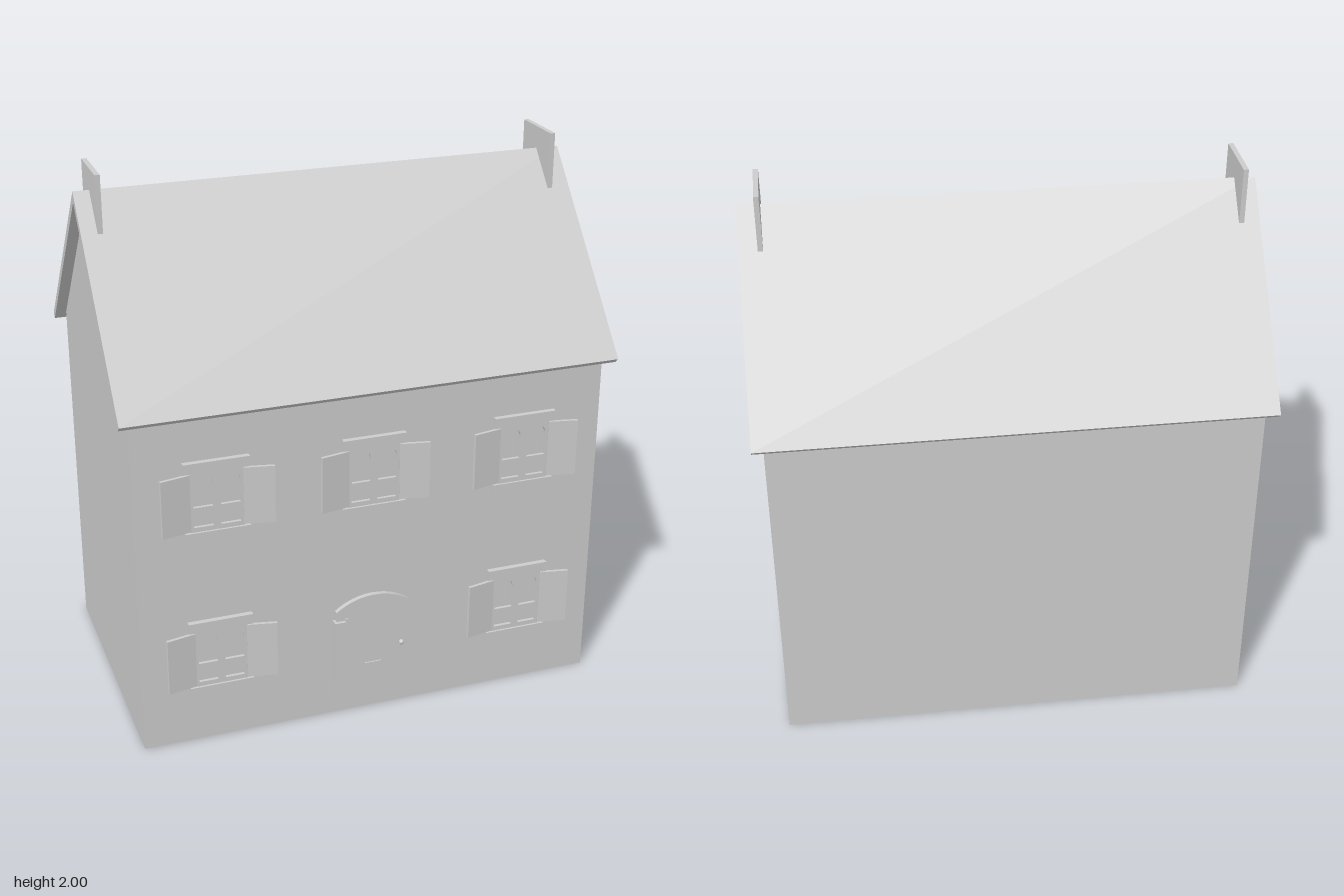
import * as THREE from 'three';

const grey = new THREE.MeshStandardMaterial({ color: 0xcccccc });
const WALL = 0.52; // front wall plane

function add(parent, name, geometry, x = 0, y = 0, z = 0) {
  const mesh = new THREE.Mesh(geometry, grey);
  mesh.name = name;
  mesh.position.set(x, y, z);
  parent.add(mesh);
  return mesh;
}

function box(parent, name, w, h, d, x, y, z) {
  return add(parent, name, new THREE.BoxGeometry(w, h, d), x, y, z);
}

const outline = pts => new THREE.Shape(pts.map(p => new THREE.Vector2(...p)));
const extrude = (shape, depth) =>
  new THREE.ExtrudeGeometry(shape, { depth, bevelEnabled: false, curveSegments: 12 });

// Extrudes a gable profile (drawn in z, y) along x, centred on x = 0
function alongX(pts, length) {
  return extrude(outline(pts), length).translate(0, 0, -length / 2).rotateY(-Math.PI / 2);
}

// Rectangular hole
function rectHole(x0, y0, x1, y1) {
  return new THREE.Path([[x0, y0], [x1, y0], [x1, y1], [x0, y1]].map(p => new THREE.Vector2(...p)));
}

// Hole with a round top
function archHole(x0, y0, x1, y1) {
  const r = (x1 - x0) / 2;
  const path = new THREE.Path();
  path.moveTo(x0, y0);
  path.lineTo(x1, y0);
  path.lineTo(x1, y1 - r);
  path.absarc(x0 + r, y1 - r, r, 0, Math.PI, false);
  path.lineTo(x0, y0);
  return path;
}

function createWindow(x, y) {
  const g = new THREE.Group();
  g.name = 'window';
  g.position.set(x, y, WALL);

  // Lintel and sill
  box(g, 'lintel', 0.234, 0.038, 0.02, 0, 0.131, 0.01);
  box(g, 'sill', 0.234, 0.038, 0.02, 0, -0.131, 0.01);

  for (const s of [-1, 1]) {
    // Casement with an arched upper pane and a square lower pane
    const c = outline([[-0.0475, -0.112], [0.0475, -0.112], [0.0475, 0.112], [-0.0475, 0.112]]);
    c.holes.push(archHole(-0.035, -0.02, 0.035, 0.1), rectHole(-0.035, -0.095, 0.035, -0.034));
    add(g, 'casement', extrude(c, 0.012), s * 0.0485, 0, 0);

    // Shutter standing open at a slight angle
    const hinge = new THREE.Group();
    hinge.name = 'shutterHinge';
    hinge.position.set(s * 0.096, 0, 0.004);
    hinge.rotation.y = -s * 0.2;
    box(hinge, 'shutter', 0.108, 0.214, 0.012, s * 0.054, 0, 0.006);
    g.add(hinge);
  }
  return g;
}

function createDoor() {
  const g = new THREE.Group();
  g.name = 'door';
  g.position.set(-0.003, 0.048, WALL);

  // Leaf with a shallow arched top
  const half = 0.143, side = 0.382, rise = 0.05;
  const r = (half * half + rise * rise) / (2 * rise);
  const a = Math.asin(half / r);
  const leaf = new THREE.Shape();
  leaf.moveTo(-half, 0);
  leaf.lineTo(half, 0);
  leaf.lineTo(half, side);
  leaf.absarc(0, side + rise - r, r, Math.PI / 2 - a, Math.PI / 2 + a, false);
  leaf.lineTo(-half, 0);
  add(g, 'doorLeaf', extrude(leaf, 0.018));

  // Long upright at the hinge side, letter slot and knob
  box(g, 'doorUpright', 0.042, 0.26, 0.03, -0.131, 0.215, 0.015);
  box(g, 'doorUprightEdge', 0.012, 0.27, 0.024, -0.105, 0.218, 0.012);
  box(g, 'letterSlot', 0.062, 0.01, 0.006, -0.002, 0.147, 0.02);
  add(g, 'doorKnob', new THREE.SphereGeometry(0.01, 14, 10), 0.108, 0.215, 0.023);
  return g;
}

export function createModel() {
  const house = new THREE.Group();
  house.name = 'house';

  // Walls with gable ends
  add(house, 'walls', alongX(
    [[-WALL, 0], [WALL, 0], [WALL, 1.3], [0, 1.88], [-WALL, 1.3]], 1.73));

  // Roof slab folded over the ridge
  add(house, 'roof', alongX(
    [[0.565, 1.285], [0, 1.92], [-0.565, 1.285], [-0.548, 1.268], [0, 1.88], [0.548, 1.268]], 1.81));

  // Thin chimney slabs straddling the ridge
  for (const x of [-0.839, 0.829]) {
    const slab = alongX([[-0.11, 1.79], [0, 1.9], [0.11, 1.79], [0.11, 2], [-0.11, 2]], 0.018);
    add(house, 'chimney', slab, x);
  }

  // Upper row has three windows, lower row has two beside the door
  for (const x of [-0.575, -0.006, 0.566]) house.add(createWindow(x, 0.957));
  for (const x of [-0.575, 0.566]) house.add(createWindow(x, 0.34));
  house.add(createDoor());

  return house;
}
